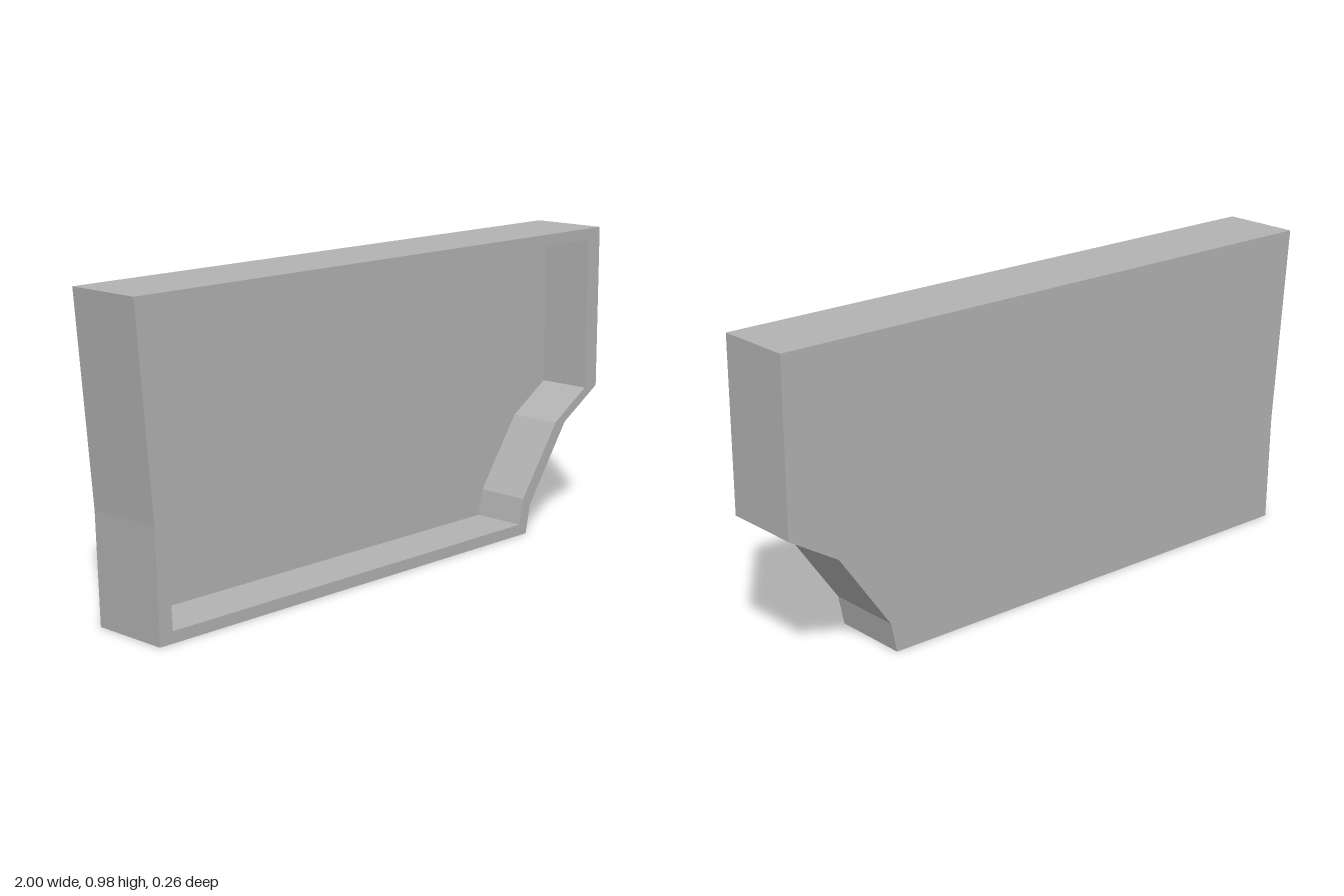
import * as THREE from 'three';

const DEPTH = 0.256; // overall thickness
const BACK = 0.08; // thickness of the back panel behind the recess

// Outline of the panel and of the recess inside its rim
const outer = [[-1, 0.98], [-0.947, 0.345], [-0.937, 0], [0.64, 0], [0.66, 0.095], [0.835, 0.345], [1, 0.445], [1, 0.98]];
const inner = [[-0.95, 0.943], [-0.902, 0.345], [-0.89, 0.036], [0.607, 0.036], [0.625, 0.12], [0.787, 0.35], [0.94, 0.445], [0.94, 0.943]];

const toPoints = (list) => list.map(([x, y]) => new THREE.Vector2(x, y));

function extrude(shape, depth, z) {
  const geometry = new THREE.ExtrudeGeometry(shape, { depth, bevelEnabled: false });
  return geometry.translate(0, 0, z);
}

export function createModel() {
  const grey = new THREE.MeshStandardMaterial({ color: 0xb2b2b2 });
  grey.name = 'grey';
  const model = new THREE.Group();
  model.name = 'recessedPanel';

  // Solid back panel
  const back = new THREE.Mesh(extrude(new THREE.Shape(toPoints(outer)), BACK, -DEPTH / 2), grey);
  back.name = 'backPanel';

  // Raised rim around the open front
  const rimShape = new THREE.Shape(toPoints(outer));
  rimShape.holes.push(new THREE.Path(toPoints(inner)));
  const rim = new THREE.Mesh(extrude(rimShape, DEPTH - BACK, -DEPTH / 2 + BACK), grey);
  rim.name = 'rim';

  model.add(back, rim);
  return model;
}
